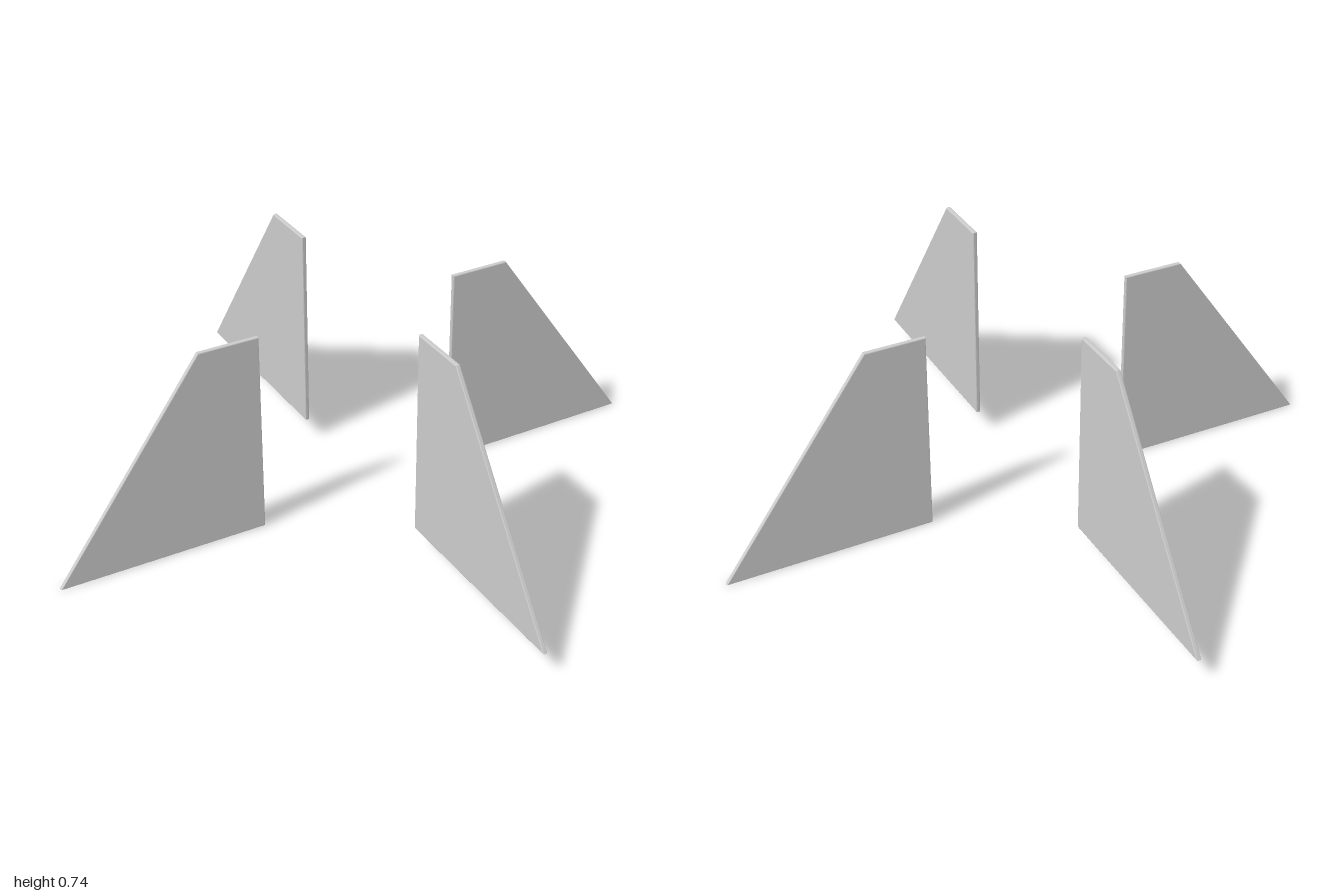
import * as THREE from 'three';

const THICKNESS = 0.014;
const BEVEL = 0.003;

// Swept fin blade: root edge on x = 0, tip pointing to +x, centred on z = 0
function finGeometry() {
  const outline = new THREE.Shape([
    new THREE.Vector2(0, 0),
    new THREE.Vector2(0.66, 0),
    new THREE.Vector2(0.19, 0.665),
    new THREE.Vector2(0, 0.665),
  ]);
  const geometry = new THREE.ExtrudeGeometry(outline, {
    depth: THICKNESS - 2 * BEVEL,
    bevelEnabled: true,
    bevelSize: BEVEL,
    bevelOffset: -BEVEL,
    bevelThickness: BEVEL,
    bevelSegments: 2,
  });
  geometry.translate(0, 0, -THICKNESS / 2 + BEVEL);
  return geometry;
}

export function createModel() {
  const group = new THREE.Group();
  const geometry = finGeometry();
  const material = new THREE.MeshStandardMaterial({ color: 0xcccccc });

  // Each fin runs from its root to its tip (x, z) at a base height
  const fins = [
    { name: 'leftFin', root: [0.34, -0.027], tip: [1, -0.027], base: 0 },
    { name: 'rightFin', root: [-0.34, 0.011], tip: [-1, 0.004], base: 0 },
    { name: 'frontFin', root: [0.003, 0.34], tip: [0.012, 1], base: 0.075 },
    { name: 'backFin', root: [-0.003, -0.34], tip: [-0.012, -1], base: 0.075 },
  ];
  for (const { name, root, tip, base } of fins) {
    const fin = new THREE.Mesh(geometry, material);
    fin.name = name;
    fin.position.set(root[0], base, root[1]);
    fin.rotation.y = Math.atan2(root[1] - tip[1], tip[0] - root[0]);
    group.add(fin);
  }
  return group;
}
